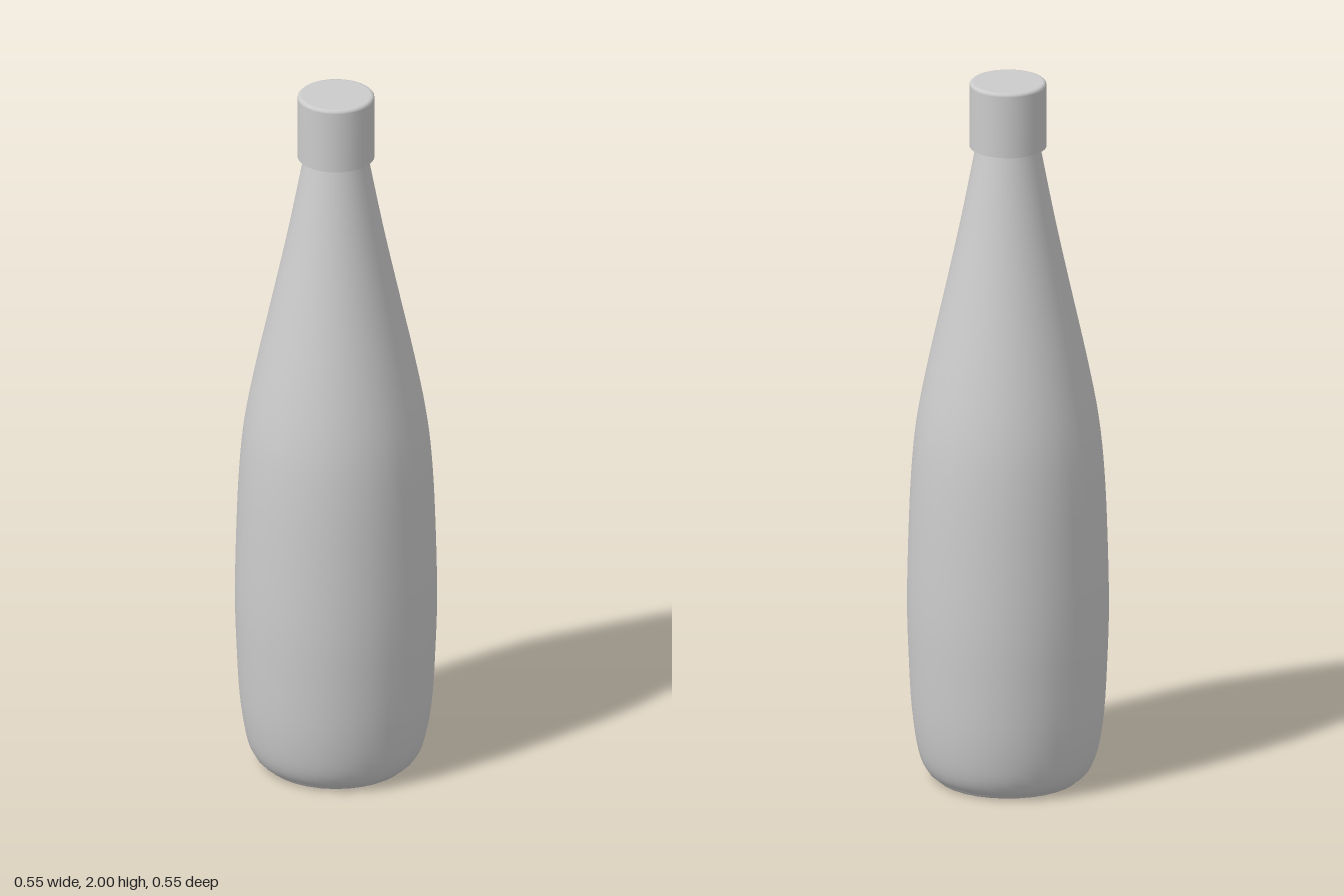
import * as THREE from 'three';

const SEGMENTS = 32;
const v = (x, y) => new THREE.Vector2(x, y);

// Turns a profile, listed from the bottom up, around the y axis.
// A doubled point gives a sharp edge.
function turned(name, profile) {
  const material = new THREE.MeshStandardMaterial({ color: 0xcccccc });
  const mesh = new THREE.Mesh(new THREE.LatheGeometry(profile, SEGMENTS), material);
  mesh.name = name;
  return mesh;
}

export function createModel() {
  const group = new THREE.Group();
  group.name = 'bottle';

  // Body: flat base, rounded heel, gentle belly, long tapering neck
  const side = new THREE.SplineCurve([
    v(0.195, 0.005), v(0.222, 0.025), v(0.245, 0.08), v(0.262, 0.19), v(0.271, 0.35),
    v(0.275, 0.5), v(0.271, 0.7), v(0.263, 0.88), v(0.248, 1.03), v(0.216, 1.2),
    v(0.172, 1.4), v(0.129, 1.6), v(0.087, 1.82), v(0.083, 1.86),
  ]).getPoints(52);
  group.add(turned('body', [v(0, 0), v(0.195, 0), ...side]));

  // Cap: straight cylinder with a slightly eased top edge
  group.add(turned('cap', [
    v(0, 1.815), v(0.105, 1.815), v(0.105, 1.815),
    v(0.105, 1.99), v(0.104, 1.995), v(0.1, 1.999), v(0.094, 2), v(0, 2),
  ]));

  return group;
}
